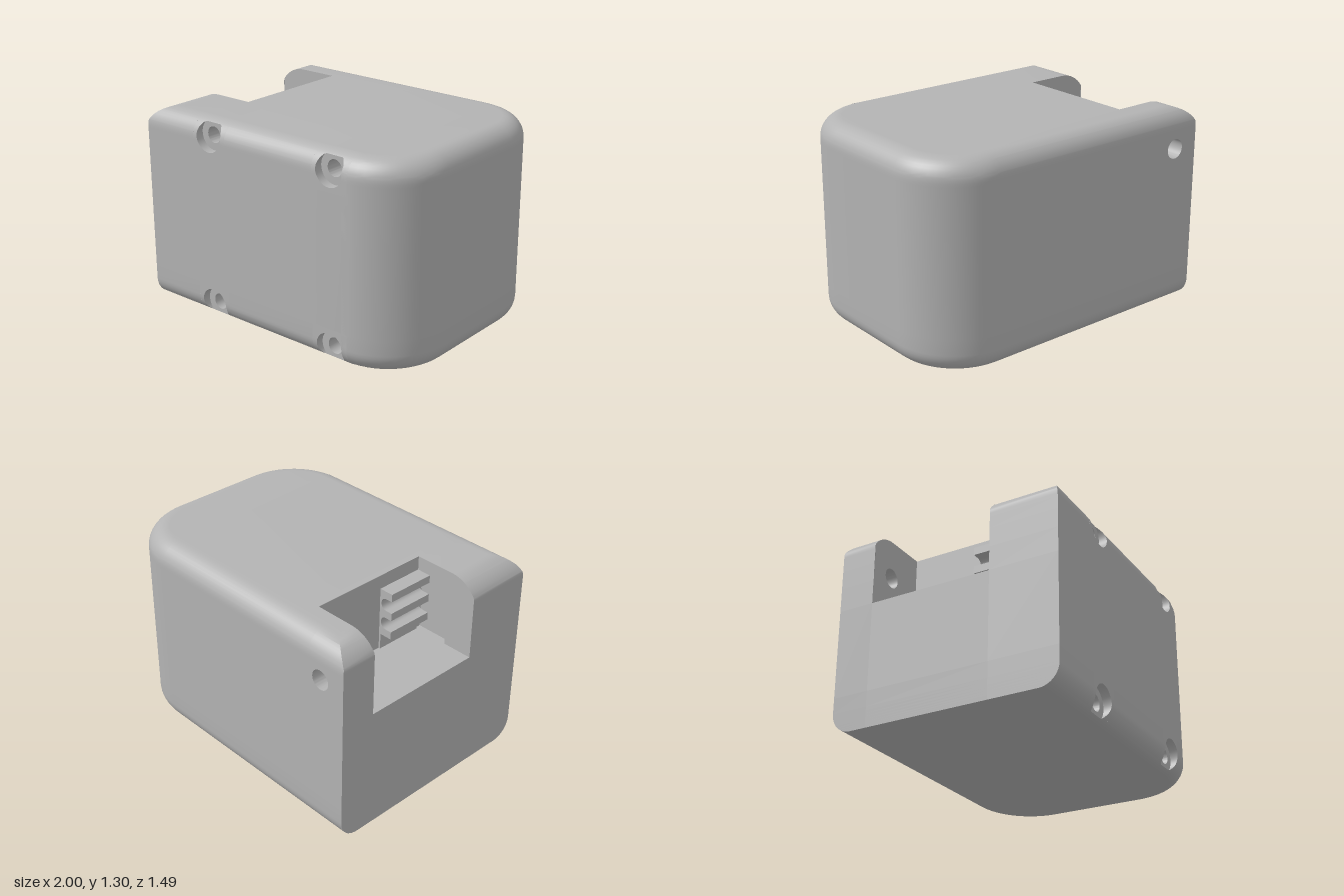
import * as THREE from 'three';
import { mergeGeometries, toCreasedNormals } from 'three/addons/utils/BufferGeometryUtils.js';

// Overall sizes
const H = 1.305, ZW = 0.745, FILLET = 0.13, CORNER = 0.43;
const NOTCH = { x: -0.56, y: 0.8, z0: -0.51, z1: 0.3 };
const SCREW = { xs: [-0.47, 0.48], y: H - 0.1, r: 0.1, bore: 0.052, z: 0.69, half: 0.13 };
SCREW.top = H - FILLET + Math.sqrt(FILLET ** 2 - (FILLET - ZW + SCREW.z) ** 2);
const PIN = { x: -0.82, y: 1.055, r: 0.063, half: 0.1 };

// Inset of the outline at height y, caused by the top and bottom fillets
function inset(y) {
  const t = Math.min(FILLET, Math.max(0, FILLET - y, y - H + FILLET));
  return FILLET - Math.sqrt(FILLET ** 2 - t * t);
}
const frontZ = y => ZW - inset(y);

// The flat end rolls over towards the top
function endX(y) {
  const R = 0.207, t = y - (H - R);
  if (t <= 0) return -1;
  return Math.max(-1, -0.823 - Math.sqrt(Math.max(0, R * R - t * t)));
}

const frontXs = [-2, ...SCREW.xs.flatMap(x => [x - SCREW.half, x + SCREW.half])];
const backXs = [PIN.x + PIN.half, PIN.x - PIN.half, -2];

// Closed plan outline at height y
function outline(y) {
  const d = inset(y), x0 = endX(y), z = ZW - d, r = CORNER - d, n = 14;
  const cx = 1 - CORNER, cz = ZW - CORNER, pts = [];
  const add = (px, pz) => pts.push(new THREE.Vector3(px, y, pz));
  frontXs.forEach(x => add(Math.max(x, x0), z));
  for (const [s, a0] of [[1, Math.PI / 2], [-1, 0]])
    for (let i = 0; i <= n; i++) {
      const a = a0 - (i / n) * Math.PI / 2;
      add(cx + r * Math.cos(a), s * cz + r * Math.sin(a));
    }
  backXs.forEach(x => add(Math.max(x, x0), -z));
  add(x0, NOTCH.z0);
  add(x0, NOTCH.z1);
  return pts;
}

function fromPoints(pts) {
  return new THREE.BufferGeometry().setFromPoints(pts);
}
function pushQuad(out, a, b, c, d) {
  out.push(a, b, c, a, c, d);
}
function bare(geometry) {
  const g = geometry.index ? geometry.toNonIndexed() : geometry;
  g.deleteAttribute('normal');
  g.deleteAttribute('uv');
  return g;
}

// Outer wall, leaving windows for the screw seats, the pin hole and the notch
function wallGeometry() {
  const levels = [NOTCH.y, 1.21, SCREW.top, H - SCREW.top, SCREW.y - SCREW.half,
    H - SCREW.y + SCREW.half, PIN.y - PIN.half, PIN.y + PIN.half];
  for (let i = 0; i <= 10; i++) {
    const t = FILLET * (1 - Math.sin(i / 10 * Math.PI / 2));
    levels.push(t, H - t);
  }
  levels.sort((a, b) => a - b);
  const rows = levels.map(outline), n = rows[0].length, out = [];
  const backStart = frontXs.length + 30;
  for (let j = 0; j < rows.length - 1; j++) {
    const y = (levels[j] + levels[j + 1]) / 2, m = Math.max(y, H - y);
    for (let i = 0; i < n; i++) {
      const screw = (i === 1 || i === 3) && m > SCREW.y - SCREW.half && m < SCREW.top;
      const pin = i === backStart && Math.abs(y - PIN.y) < PIN.half;
      const notch = i === n - 2 && y > NOTCH.y;
      if (screw || pin || notch) continue;
      const k = (i + 1) % n;
      pushQuad(out, rows[j][i], rows[j][k], rows[j + 1][k], rows[j + 1][i]);
    }
  }
  return fromPoints(out);
}

// Wall patch around a hole; inner rings are [radius, z] from the hole's bottom outwards
function holePatch(cx, cy, r, half, top, inner, surface) {
  const angles = [];
  for (let i = 0; i < 48; i++) angles.push(i / 48 * Math.PI * 2);
  for (const dy of [top - cy, -half])
    for (const dx of [half, -half]) angles.push((Math.atan2(dy, dx) + Math.PI * 2) % (Math.PI * 2));
  angles.sort((a, b) => a - b);
  const limit = a => Math.min(half / Math.max(1e-6, Math.abs(Math.cos(a))),
    (Math.sin(a) > 0 ? top - cy : half) / Math.max(1e-6, Math.abs(Math.sin(a))));
  const at = (a, t, z) => {
    const y = cy + t * Math.sin(a);
    return new THREE.Vector3(cx + t * Math.cos(a), y, z ?? surface(y));
  };
  const rings = inner.map(([radius, z]) => angles.map(a => at(a, Math.min(radius, limit(a)), z)));
  for (let k = 0; k <= 4; k++)
    rings.push(angles.map(a => at(a, THREE.MathUtils.lerp(Math.min(r, limit(a)), limit(a), k / 4))));
  const out = [];
  for (let k = 0; k < rings.length - 1; k++)
    angles.forEach((_, i) => {
      const j = (i + 1) % angles.length;
      pushQuad(out, rings[k][i], rings[k + 1][i], rings[k + 1][j], rings[k][j]);
    });
  return fromPoints(out);
}

function screwSeat(x) {
  const { y, r, bore, z, half, top } = SCREW;
  return holePatch(x, y, r, half, top, [[0, 0.45], [bore, 0.45], [bore, z], [r, z]], frontZ);
}

// Horizontal caps
function capGeometry(y, top) {
  const pts = outline(y);
  if (top) pts.splice(pts.length - 1, 0,
    new THREE.Vector3(NOTCH.x, y, NOTCH.z0), new THREE.Vector3(NOTCH.x, y, NOTCH.z1));
  const s = top ? -1 : 1;
  const g = new THREE.ShapeGeometry(new THREE.Shape(pts.map(p => new THREE.Vector2(p.x, s * p.z))));
  return g.rotateX(s * Math.PI / 2).translate(0, y, 0);
}

// Side wall of the notch, following the rolled end
function cheekShape(pocket) {
  const pts = [];
  if (pocket) pts.push([NOTCH.x, pocket.y], [pocket.x, pocket.y], [pocket.x, NOTCH.y]);
  else pts.push([NOTCH.x, NOTCH.y]);
  pts.push([-1, NOTCH.y]);
  for (let i = 0; i <= 10; i++) {
    const y = 1.21 + (H - 1.21) * Math.sin(i / 10 * Math.PI / 2);
    pts.push([endX(y), y]);
  }
  pts.push([NOTCH.x, H]);
  return new THREE.Shape(pts.map(p => new THREE.Vector2(...p)));
}

// Clip with three fins and rounded grooves between them
function clipGeometry() {
  const s = new THREE.Shape(), tip = -0.655, root = -0.61, base = -0.572;
  s.moveTo(-0.555, NOTCH.y);
  s.lineTo(base, NOTCH.y);
  s.lineTo(base, 0.905);
  [0.905, 1.035, 1.165].forEach((y, i) => {
    s.lineTo(tip, y);
    s.lineTo(tip, y + 0.05);
    if (i < 2) {
      s.lineTo(root, y + 0.05);
      s.bezierCurveTo(-0.56, y + 0.05, -0.56, y + 0.13, root, y + 0.13);
    }
  });
  s.lineTo(-0.555, 1.215);
  return new THREE.ExtrudeGeometry(s, { depth: 0.32, bevelEnabled: false, curveSegments: 10 })
    .translate(0, 0, -0.02);
}

export function createModel() {
  const group = new THREE.Group();
  const grey = new THREE.MeshStandardMaterial({ color: 0xb3b3b3, side: THREE.DoubleSide });
  grey.name = 'light grey';
  const add = (name, geometries) => {
    const g = toCreasedNormals(mergeGeometries(geometries.map(bare)), 0.6);
    const mesh = new THREE.Mesh(g, grey);
    mesh.name = name;
    group.add(mesh);
  };

  // Shell with screw seats along the front and a pin hole in the back
  const seats = SCREW.xs.flatMap(x =>
    [screwSeat(x), screwSeat(-x).rotateZ(Math.PI).translate(0, H, 0)]);
  const pinHole = holePatch(-PIN.x, PIN.y, PIN.r, PIN.half, PIN.y + PIN.half,
    [[PIN.r, -NOTCH.z0]], () => ZW).rotateY(Math.PI);
  add('housing', [wallGeometry(), ...seats, pinHole, capGeometry(H, true), capGeometry(0, false)]);

  // Notch lining with a shallow pocket in one cheek
  const pocket = { x: -0.8, y: 1.1, z: NOTCH.z1 + 0.04 };
  const backCheek = cheekShape();
  backCheek.holes.push(new THREE.Path().absarc(PIN.x, PIN.y, PIN.r, 0, Math.PI * 2, true));
  const quad = (...corners) => {
    const out = [];
    pushQuad(out, ...corners.map(c => new THREE.Vector3(...c)));
    return fromPoints(out);
  };
  const { x, y, z0, z1 } = NOTCH, { x: px, y: py, z: pz } = pocket;
  add('notch', [
    new THREE.ShapeGeometry(backCheek, 24).translate(0, 0, z0),
    new THREE.ShapeGeometry(cheekShape(pocket)).rotateY(Math.PI).scale(-1, 1, -1).translate(0, 0, z1),
    quad([-1, y, z0], [-1, y, z1], [x, y, z1], [x, y, z0]),
    quad([x, y, z0], [x, y, z1], [x, H, z1], [x, H, z0]),
  ]);
  add('pocket', [
    quad([px, y, pz], [px, py, pz], [x, py, pz], [x, y, pz]),
    quad([px, y, z1], [px, py, z1], [px, py, pz], [px, y, pz]),
    quad([px, py, z1], [x, py, z1], [x, py, pz], [px, py, pz]),
    quad([px, y, z1], [px, y, pz], [x, y, pz], [x, y, z1]),
    quad([x, y, z1], [x, y, pz], [x, py, pz], [x, py, z1]),
  ]);
  add('cableClip', [clipGeometry()]);
  return group;
}
